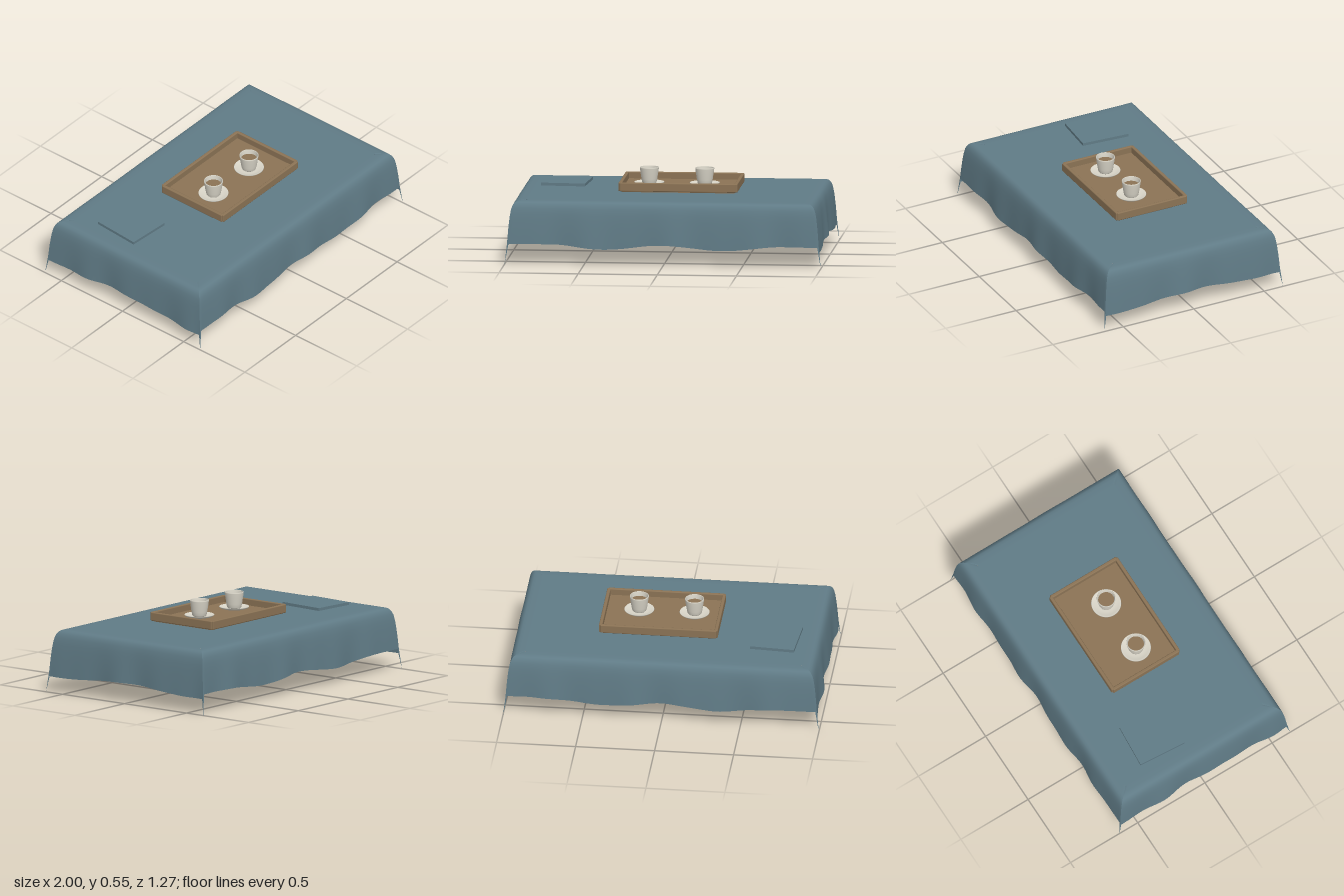
import * as THREE from 'three';
import { RoundedBoxGeometry } from 'three/addons/geometries/RoundedBoxGeometry.js';

const HALF_X = 0.925, HALF_Z = 0.56, TOP = 0.396;

// Cloth cross-section: distance outwards, height
const PROFILE = [
  [-0.05, 0.398], [-0.02, 0.397], [0, 0.395], [0.014, 0.388], [0.026, 0.373], [0.036, 0.348],
  [0.043, 0.31], [0.048, 0.27], [0.053, 0.22], [0.057, 0.17], [0.06, 0.13], [0.062, 0.1],
];

// One hanging side of the cloth, facing +z
function skirtGeometry(halfLength, halfDepth, hem, wave) {
  const us = [-1, -0.988];
  for (let i = 1; i < 80; i++) us.push(-1 + i / 40);
  us.push(0.988, 1);
  const positions = [], index = [];
  PROFILE.forEach(([out, py], j) => {
    const last = j === PROFILE.length - 1;
    const fall = Math.max(0, (TOP - py) / (TOP - 0.1));
    us.forEach((u) => {
      const corner = Math.abs(u) === 1;
      const tip = corner && last ? 0.012 : 0; // corners hang down in a thin point
      const a = u * (halfLength + out + tip);
      const ripple = wave(a) * Math.pow(fall, 1.4) * (1 - Math.pow(u, 10));
      let y = fall > 0 ? TOP - fall * (TOP - hem(a)) : py;
      if (corner) y = last ? 0 : Math.max(0.1, TOP - fall * 0.296);
      positions.push(a, y, halfDepth + out + tip + ripple);
    });
  });
  const n = us.length;
  for (let j = 0; j < PROFILE.length - 1; j++) {
    for (let i = 0; i < n - 1; i++) {
      const p = j * n + i;
      index.push(p, p + n, p + 1, p + 1, p + n, p + n + 1);
    }
  }
  const g = new THREE.BufferGeometry();
  g.setAttribute('position', new THREE.Float32BufferAttribute(positions, 3));
  g.setIndex(index);
  g.computeVertexNormals();
  return g;
}

export function createModel() {
  const model = new THREE.Group();
  const material = (name, color, side = THREE.FrontSide) => {
    const m = new THREE.MeshStandardMaterial({ color, side });
    m.name = name;
    return m;
  };
  const cloth = material('blueGreyCloth', 0x607b86, THREE.DoubleSide);
  const wood = material('wood', 0x8b7355);
  const ceramic = material('ceramic', 0xd9d5c8, THREE.DoubleSide);

  const add = (parent, name, geometry, mat, x = 0, y = 0, z = 0) => {
    const mesh = new THREE.Mesh(geometry, mat);
    mesh.name = name;
    mesh.position.set(x, y, z);
    parent.add(mesh);
    return mesh;
  };

  // Tablecloth: flat top and four rippled sides
  const tablecloth = new THREE.Group();
  tablecloth.name = 'tablecloth';
  model.add(tablecloth);
  const top = new THREE.PlaneGeometry(2 * (HALF_X - 0.05), 2 * (HALF_Z - 0.05)).rotateX(-Math.PI / 2);
  add(tablecloth, 'clothTop', top, cloth, 0, 0.398, 0);
  const longHem = (a) => 0.115 + 0.015 * Math.cos((Math.min(Math.abs(a), 0.72) * 2 * Math.PI) / 0.74);
  const shortHem = (a) => 0.114 + 0.014 * Math.cos((Math.min(Math.abs(a), 0.53) * 2 * Math.PI) / 1.06);
  ['front', 'left', 'back', 'right'].forEach((name, k) => {
    const long = k % 2 === 0;
    const wave = (a) => 0.007 * Math.sin(a * (long ? 13 : 15) + k * 1.9 + 0.6)
      + 0.004 * Math.sin(a * 23 + k * 2.7) - 0.001;
    const g = long
      ? skirtGeometry(HALF_X, HALF_Z, longHem, wave)
      : skirtGeometry(HALF_Z, HALF_X, shortHem, wave);
    add(tablecloth, name + 'Drape', g, cloth).rotation.y = (k * Math.PI) / 2;
  });

  // Thin folded mat
  add(model, 'foldedMat', new THREE.BoxGeometry(0.281, 0.018, 0.312), cloth, -0.682, 0.414, -0.193)
    .rotation.y = -0.073;

  // Serving tray: floor with four rounded rails
  const tray = new THREE.Group();
  tray.name = 'tray';
  tray.position.set(0.06, 0, -0.002);
  model.add(tray);
  add(tray, 'trayFloor', new THREE.BoxGeometry(0.71, 0.02, 0.465), wood, 0, 0.421, 0);
  for (const s of [-1, 1]) {
    add(tray, 'longRail', new RoundedBoxGeometry(0.735, 0.055, 0.022, 2, 0.006), wood, 0, 0.445, s * 0.243);
    add(tray, 'shortRail', new RoundedBoxGeometry(0.022, 0.055, 0.49, 2, 0.006), wood, s * 0.365, 0.445, 0);
  }

  // Cups on saucers
  const lathe = (points) => new THREE.LatheGeometry(points.map(([r, y]) => new THREE.Vector2(r, y)), 40);
  const saucer = lathe([[0, 0.432], [0.055, 0.432], [0.085, 0.44], [0.095, 0.448], [0.093, 0.451],
    [0.08, 0.446], [0.055, 0.44], [0, 0.44]]);
  const cup = lathe([[0, 0.44], [0.04, 0.44], [0.045, 0.446], [0.05, 0.47], [0.056, 0.51], [0.06, 0.538],
    [0.06, 0.543], [0.057, 0.545], [0.054, 0.542], [0.051, 0.515], [0.046, 0.48]]);
  const drink = new THREE.CircleGeometry(0.0505, 40).rotateX(-Math.PI / 2);
  for (const x of [-0.14, 0.21]) {
    const set = new THREE.Group();
    set.name = 'cupAndSaucer';
    set.position.set(x, 0, 0.03);
    model.add(set);
    add(set, 'saucer', saucer, ceramic);
    add(set, 'cup', cup, ceramic);
    add(set, 'drink', drink, wood, 0, 0.515, 0);
  }
  return model;
}
